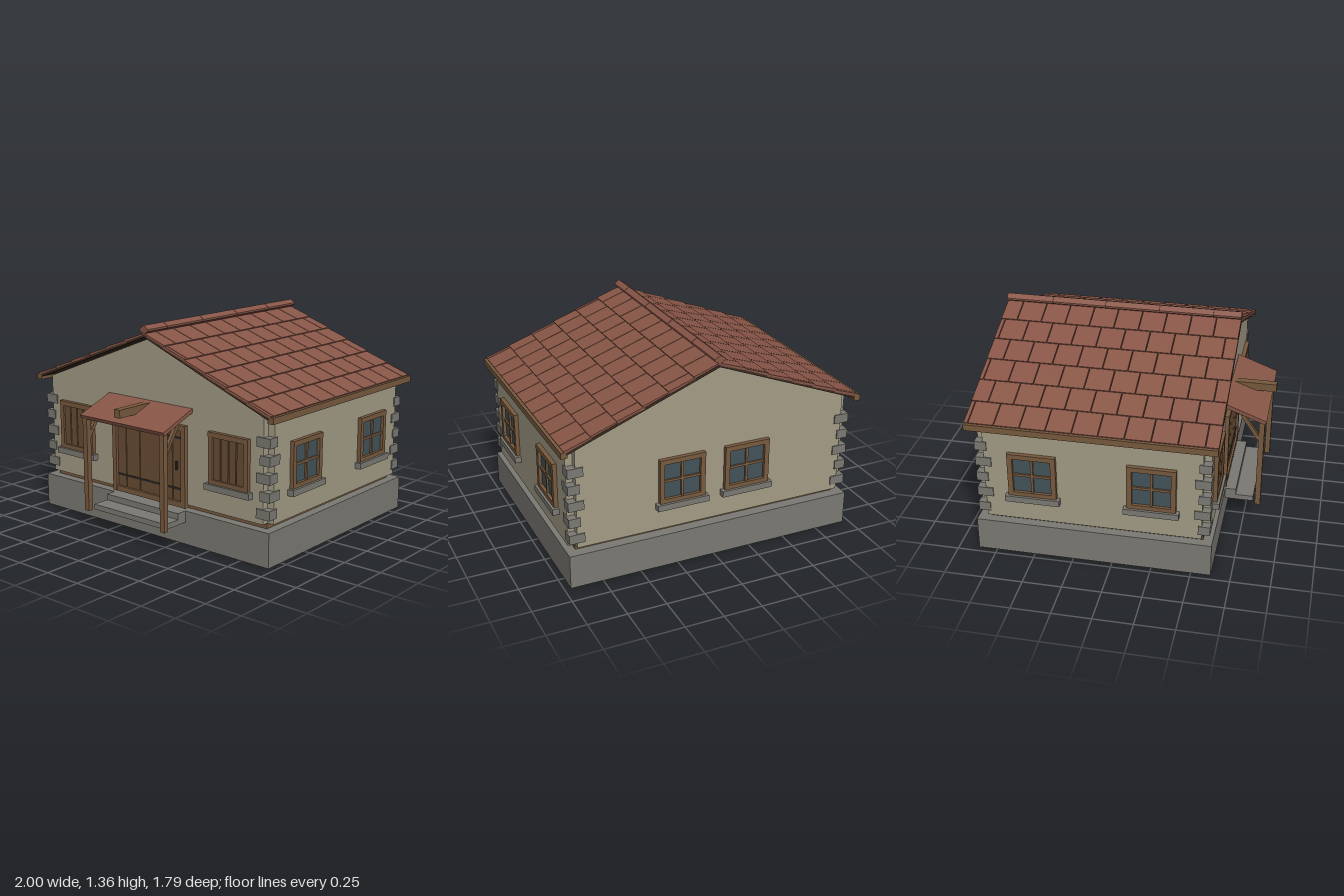
import * as THREE from 'three';

const mat = (color, opts = {}) => new THREE.MeshStandardMaterial({ color, ...opts });
const M = {
  plaster: mat(0xa39c86), stone: mat(0x7c7a74), wood: mat(0x785a3e), darkWood: mat(0x6a4d34),
  groove: mat(0x3a2a20), tile: mat(0x885647), glass: mat(0x43545a), iron: mat(0x2e2b28),
};

// Box given by its min and max corners
function box(parent, name, m, x0, x1, y0, y1, z0, z1) {
  const mesh = new THREE.Mesh(new THREE.BoxGeometry(x1 - x0, y1 - y0, z1 - z0), m);
  mesh.position.set((x0 + x1) / 2, (y0 + y1) / 2, (z0 + z1) / 2);
  mesh.name = name;
  parent.add(mesh);
  return mesh;
}

// Polygon in x/y pulled from z0 to z1
function prism(parent, name, m, pts, z0, z1) {
  const shape = new THREE.Shape(pts.map(p => new THREE.Vector2(...p)));
  const mesh = new THREE.Mesh(new THREE.ExtrudeGeometry(shape, { depth: z1 - z0, bevelEnabled: false }), m);
  mesh.position.z = z0;
  mesh.name = name;
  parent.add(mesh);
}

function group(parent, name) {
  const g = new THREE.Group();
  g.name = name;
  parent.add(g);
  return g;
}

const SLOPE = 0.39, RIDGE = 1.315, Z0 = -0.895, Z1 = 0.65, ZC = (Z0 + Z1) / 2;
const BACK = -0.8, FRONT = 0.56, HALF = 0.9, SKIN = 0.045;

// Window facing +z, centred on local x = 0, wall face at local z = 0
function windowUnit(parent, name, x, z, turn, shuttered) {
  const g = group(parent, name);
  g.position.set(x, 0, z);
  g.rotation.y = turn;
  const w = 0.152, b = 0.435, t = shuttered ? 0.765 : 0.735, f = 0.032;
  for (const s of [-1, 1]) box(g, 'frameSide', M.wood, s * (w - f / 2) - f / 2, s * (w - f / 2) + f / 2, b, t, -0.01, 0.026);
  box(g, 'frameTop', M.wood, -w, w, t - f, t, -0.01, 0.028);
  box(g, 'frameBottom', M.wood, -w + f, w - f, b, b + f, -0.01, 0.026);
  box(g, 'sill', M.stone, -0.172, 0.172, 0.4, 0.44, -0.01, 0.042);
  if (shuttered) {
    box(g, 'shutterBacking', M.groove, -w + f, w - f, b + f, t - f, -0.01, 0.006);
    const n = 4, p = 2 * (w - f) / n;
    for (let i = 0; i < n; i++) {
      const a = -w + f + i * p;
      box(g, 'shutterPlank', M.darkWood, a + 0.004, a + p - 0.004, b + f, t - f, 0, 0.017);
    }
  } else {
    box(g, 'glass', M.glass, -w + f, w - f, b + f, t - f, -0.01, 0.006);
    box(g, 'mullion', M.wood, -0.008, 0.008, b + f, t - f, 0, 0.018);
    box(g, 'transom', M.wood, -w + f, w - f, 0.577, 0.593, 0, 0.017);
  }
}

function buildWalls(root) {
  const g = group(root, 'walls');
  box(g, 'foundation', M.stone, -0.96, 0.96, 0, 0.22, -0.87, 0.625);
  box(g, 'sillBeam', M.wood, -HALF, HALF, 0.22, 0.255, BACK, FRONT + 0.005);
  box(g, 'wallCore', M.plaster, -HALF + 0.002, HALF - 0.002, 0.255, 0.9, BACK + 0.002, FRONT - 0.002);
  const eave = 1.272 - SLOPE * HALF;
  const gable = [[-HALF, 0.255], [HALF, 0.255], [HALF, eave], [0, 1.272], [-HALF, eave]];
  prism(g, 'frontWall', M.plaster, gable, FRONT, FRONT + SKIN);
  prism(g, 'backWall', M.plaster, gable, BACK - SKIN, BACK);
  for (const s of [-1, 1]) {
    const c = s * (HALF + SKIN / 2);
    box(g, 'sideWall', M.plaster, c - SKIN / 2, c + SKIN / 2, 0.255, 0.91, BACK, FRONT);
    // Corner stones alternate their long side
    for (const [zWall, d] of [[FRONT + SKIN, 1], [BACK - SKIN, -1]])
      for (let i = 0; i < 5; i++) {
        const lx = i % 2 ? 0.075 : 0.1, lz = i % 2 ? 0.1 : 0.075, y = 0.32 + i * 0.11;
        const xo = s * 0.952, zo = zWall + d * 0.007, xi = xo - s * lx, zi = zo - d * lz;
        box(g, 'cornerStone', M.stone, Math.min(xo, xi), Math.max(xo, xi), y - 0.03, y + 0.03, Math.min(zo, zi), Math.max(zo, zi));
      }
  }
}

function buildRoof(root) {
  const g = group(root, 'roof');
  const angle = Math.atan(SLOPE), len = 0.975 / Math.cos(angle), half = (Z1 - Z0) / 2;
  const rows = 6, pitch = len / rows, tw = 0.16, gap = 0.005;
  for (const s of [1, -1]) {
    const side = group(g, s > 0 ? 'leftSlope' : 'rightSlope');
    side.position.set(0, RIDGE, ZC);
    side.rotation.y = s > 0 ? 0 : Math.PI;
    const tilt = group(side, 'slope');
    tilt.rotation.z = -angle;
    box(tilt, 'roofBoards', M.groove, 0, len, -0.028, -0.012, -half, half);
    // Overlapping tile rows, joints shifted by half a tile
    for (let r = 0; r < rows; r++)
      for (let z = -half - (r % 2 ? tw / 2 : 0); z < half; z += tw) {
        const a = Math.max(z + gap / 2, -half), b = Math.min(z + tw - gap / 2, half);
        if (b - a < 0.01) continue;
        const tile = box(tilt, 'roofTile', M.tile, r * pitch, (r + 1) * pitch + 0.006, -0.016, 0, a, b);
        tile.rotation.z = 0.04;
      }
    box(side, 'eaveBoard', M.wood, 0.96, 1, 0.89 - RIDGE, 0.93 - RIDGE, -half, half);
  }
  // Ridge cap in short lengths
  const cap = k => [[0, 1.305], [0.035 * k, 1.325], [0.035 * k, 1.337], [0, 1.335 + 0.025 * k], [-0.035 * k, 1.337], [-0.035 * k, 1.325]];
  prism(g, 'ridgeCore', M.groove, cap(0.85), Z0 + 0.002, Z1 - 0.002);
  const joints = [Z0, -0.585, -0.235, 0.12, 0.47, Z1];
  for (let i = 0; i < 5; i++) prism(g, 'ridgeTile', M.tile, cap(1), joints[i] + (i ? 0.004 : 0), joints[i + 1]);
}

function buildDoor(root) {
  const g = group(root, 'door');
  const z = FRONT + SKIN;
  for (const s of [-1, 1]) box(g, 'doorJamb', M.wood, s * 0.295 - 0.017, s * 0.295 + 0.017, 0.235, 0.76, z - 0.01, z + 0.027);
  box(g, 'doorLintel', M.wood, -0.312, 0.312, 0.73, 0.765, z - 0.01, z + 0.028);
  box(g, 'threshold', M.wood, -0.278, 0.278, 0.235, 0.27, z - 0.01, z + 0.025);
  box(g, 'doorBacking', M.groove, -0.278, 0.278, 0.27, 0.73, z - 0.01, z + 0.004);
  const edges = [-0.278, -0.2, -0.08, 0.1, 0.2, 0.278];
  for (let i = 0; i < 5; i++) box(g, 'doorPlank', M.darkWood, edges[i] + 0.003, edges[i + 1] - 0.003, 0.272, 0.73, z, z + 0.012);
  for (const y of [0.35, 0.68]) box(g, 'doorStrap', M.iron, -0.27, 0.27, y - 0.006, y + 0.006, z + 0.01, z + 0.017);
  box(g, 'doorHandle', M.iron, 0.235, 0.245, 0.475, 0.53, z + 0.01, z + 0.028);
}

function buildPorch(root) {
  const g = group(root, 'porch');
  box(g, 'upperStep', M.stone, -0.31, 0.31, 0.18, 0.22, 0.6, 0.695);
  box(g, 'lowerStep', M.stone, -0.31, 0.31, 0.145, 0.18, 0.6, 0.81);
  // Sloping canopy
  const dz = 0.265, dy = 0.1;
  const canopy = box(g, 'canopy', M.tile, -0.355, 0.355, -0.0125, 0.0125, -Math.hypot(dz, dy) / 2, Math.hypot(dz, dy) / 2);
  canopy.position.set(0, 0.818, 0.735);
  canopy.rotation.x = Math.atan2(dy, dz);
  box(g, 'canopyBeam', M.wood, -0.025, 0.025, 0.82, 0.872, 0.6, 0.9);
  for (const s of [-1, 1]) {
    const x = s * 0.327;
    box(g, 'porchPost', M.wood, x - 0.018, x + 0.018, 0.145, 0.765, 0.825, 0.86);
    const brace = box(g, 'porchBrace', M.wood, x - 0.012, x + 0.012, -0.1, 0.1, -0.012, 0.012);
    brace.position.set(x, 0.72, 0.772);
    brace.rotation.x = -Math.atan2(0.11, 0.165);
  }
}

export function createModel() {
  const root = new THREE.Group();
  root.name = 'cottage';
  buildWalls(root);
  buildRoof(root);
  buildDoor(root);
  buildPorch(root);
  for (const s of [-1, 1]) {
    windowUnit(root, 'shutteredWindow', s * 0.65, FRONT + SKIN, 0, true);
    windowUnit(root, 'backWindow', s * 0.22, BACK - SKIN, Math.PI, false);
    for (const z of [0.25, -0.493]) windowUnit(root, 'sideWindow', s * (HALF + SKIN), z, s * Math.PI / 2, false);
  }
  return root;
}
